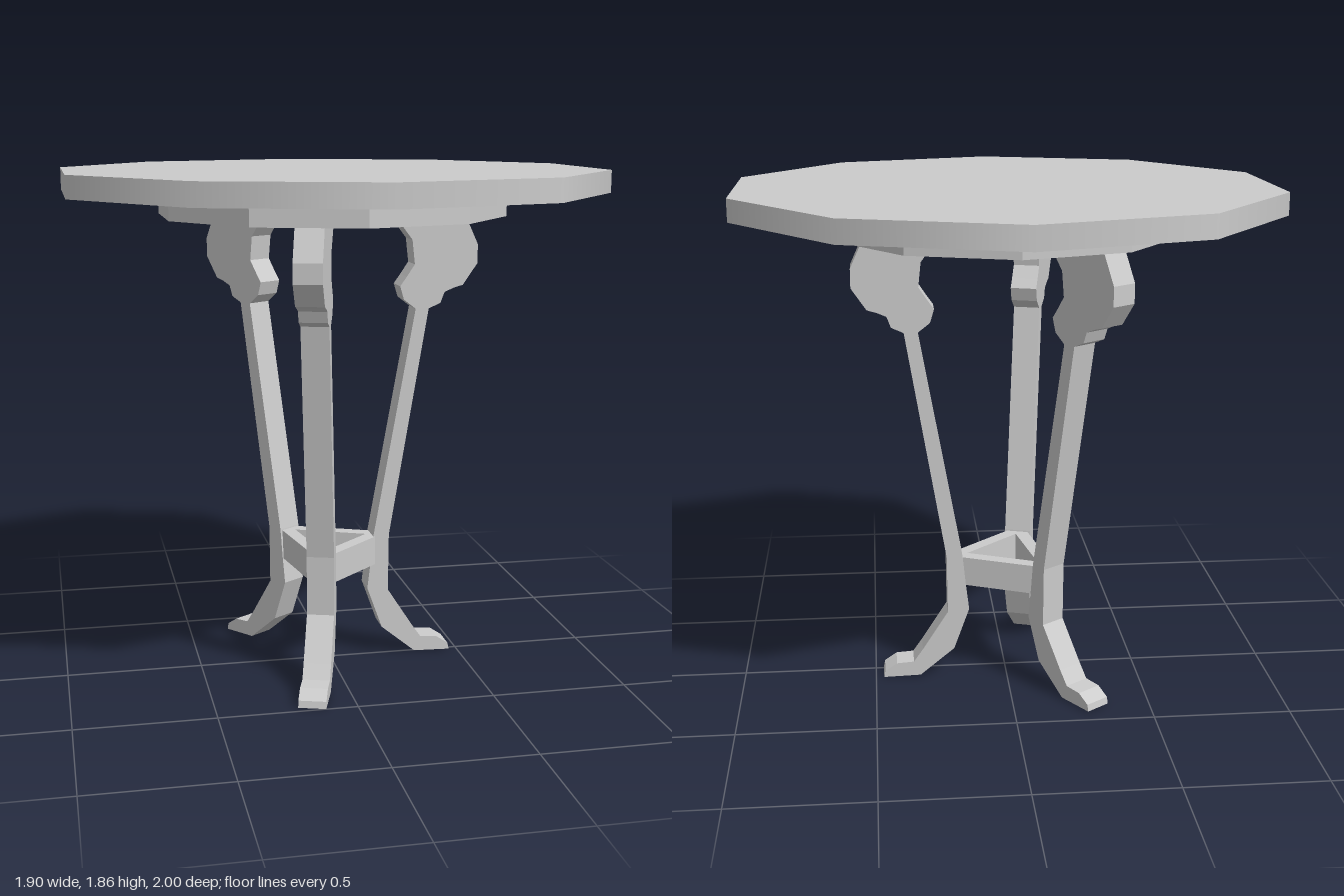
import * as THREE from 'three';

const flat = new THREE.MeshStandardMaterial({ color: 0xcccccc, flatShading: true });
const smooth = new THREE.MeshStandardMaterial({ color: 0xcccccc });

// Side profile of a leg: x = distance outwards, y = height
const LEG_PROFILE = [
  [0.50, 1.70], [0.555, 1.58], [0.555, 1.51], [0.50, 1.43], [0.465, 1.42], [0.43, 1.405],
  [0.415, 1.365], [0.37, 1.345], [0.225, 0.48], [0.223, 0.26], [0.32, 0.11],
  [0.355, 0.06], [0.42, 0.055], [0.465, 0.025], [0.47, 0], [0.33, 0.004], [0.20, 0.11],
  [0.142, 0.27], [0.155, 0.38], [0.165, 0.48], [0.32, 1.345], [0.275, 1.38],
  [0.26, 1.43], [0.285, 1.465], [0.315, 1.51], [0.305, 1.60], [0.23, 1.70],
];
const LEG_WIDTH = 0.1;

// Heading (degrees from +x towards +z) and small offset of each leg
const LEGS = [
  { name: 'rightmostLeg', angle: 0, x: 0, z: -0.033 },
  { name: 'frontLeg', angle: 108, x: -0.018, z: 0.037 },
  { name: 'backLeg', angle: 234, x: -0.032, z: -0.027 },
];
LEGS[0].name = 'leftLeg';

function disc(name, radius, y0, y1, material) {
  const mesh = new THREE.Mesh(new THREE.CylinderGeometry(radius, radius, y1 - y0, 10), material);
  mesh.name = name;
  mesh.position.y = (y0 + y1) / 2;
  return mesh;
}

// Flat bar between two points on the ground plan
function stretcher(a, b) {
  const length = a.distanceTo(b);
  const mesh = new THREE.Mesh(new THREE.BoxGeometry(length, 0.11, 0.05), flat);
  mesh.name = 'stretcher';
  mesh.position.set((a.x + b.x) / 2, 0.42, (a.y + b.y) / 2);
  mesh.rotation.y = -Math.atan2(b.y - a.y, b.x - a.x);
  return mesh;
}

export function createModel() {
  const table = new THREE.Group();
  table.name = 'sideTable';

  // Ten-sided top and the smaller apron below it
  table.add(disc('tableTop', 1, 1.78, 1.86, smooth));
  table.add(disc('apron', 0.635, 1.695, 1.78, flat));

  // Three scrolled legs
  const shape = new THREE.Shape(LEG_PROFILE.map(([x, y]) => new THREE.Vector2(x, y)));
  const legGeometry = new THREE.ExtrudeGeometry(shape, { depth: LEG_WIDTH, bevelEnabled: false });
  legGeometry.translate(0, 0, -LEG_WIDTH / 2);
  const joints = LEGS.map(({ name, angle, x, z }) => {
    const a = THREE.MathUtils.degToRad(angle);
    const leg = new THREE.Mesh(legGeometry, flat);
    leg.name = name;
    leg.position.set(x, 0, z);
    leg.rotation.y = -a;
    table.add(leg);
    return new THREE.Vector2(x + 0.188 * Math.cos(a), z + 0.188 * Math.sin(a));
  });

  // Stretchers tying the legs into a triangle
  joints.forEach((p, i) => table.add(stretcher(p, joints[(i + 1) % 3])));

  return table;
}
